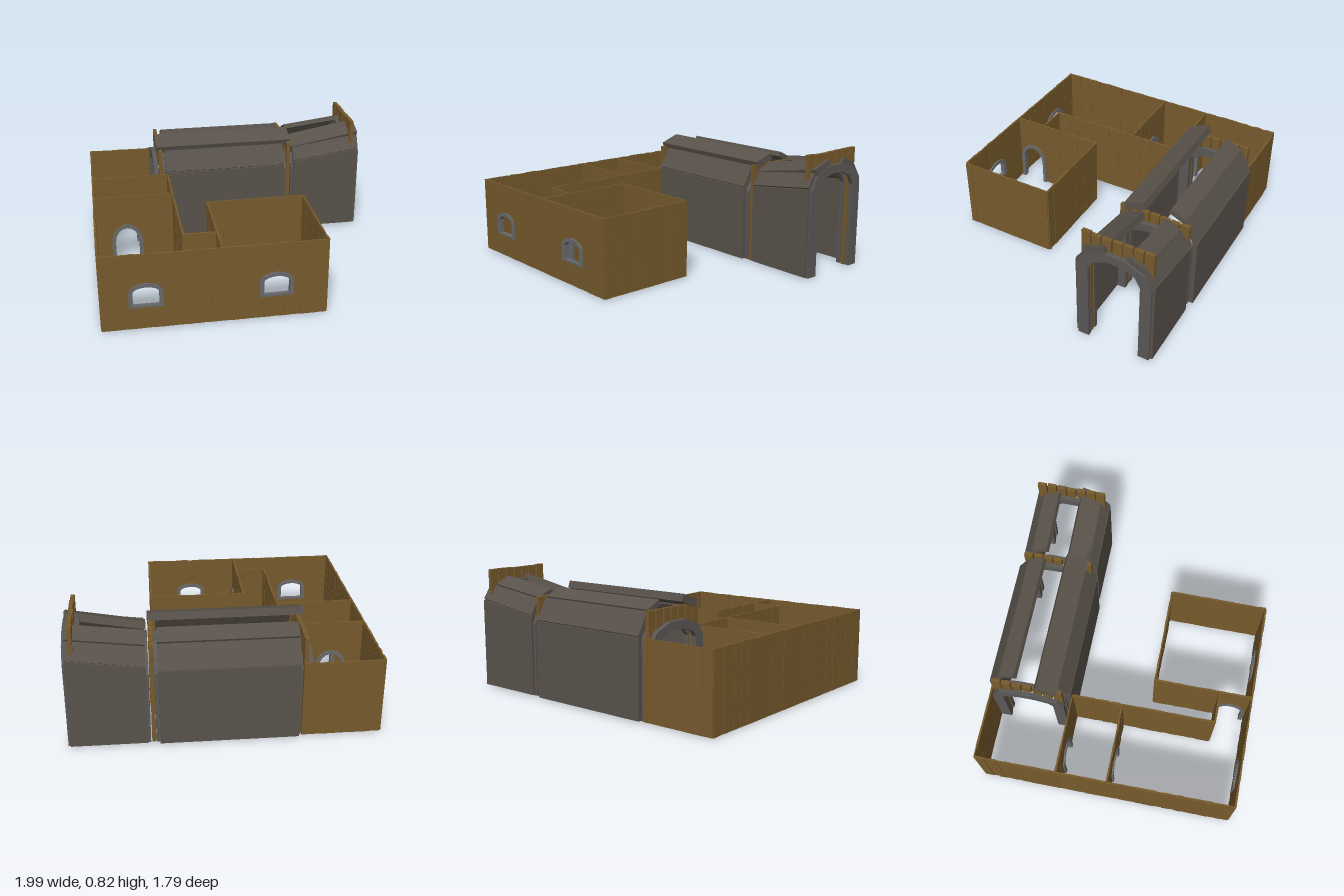
import * as THREE from 'three';
import { mergeGeometries } from 'three/addons/utils/BufferGeometryUtils.js';

const mat = (color) => new THREE.MeshStandardMaterial({ color, flatShading: true, side: THREE.DoubleSide });
const wood = mat(0x765a2c), slate = mat(0x59524b), rib = mat(0x5a5856), trim = mat(0x69696c);

let seed = 7;
const rnd = () => (seed = (seed * 16807) % 2147483647) / 2147483647;

// Arch outline from bottom left over the crown to bottom right
function archPoints(cx, half, base, spring, rise, n) {
  const pts = [[cx - half, base]];
  for (let i = 0; i <= n; i++) {
    const a = Math.PI * (1 - i / n);
    pts.push([cx + half * Math.cos(a), spring + rise * Math.sin(a)]);
  }
  pts.push([cx + half, base]);
  return pts;
}

function extrude(pts, depth) {
  const shape = new THREE.Shape(pts.map(([x, y]) => new THREE.Vector2(x, y)));
  return new THREE.ExtrudeGeometry(shape, { depth, bevelEnabled: false }).translate(0, 0, -depth / 2);
}

// Arched frame: legs and crown, open at the bottom
function archFrame(cx, half, base, spring, rise, n, width, crown, depth) {
  const outer = archPoints(cx, half, base, spring, rise, n);
  const inner = archPoints(cx, half - width, base, spring, rise - crown, n);
  return extrude([...outer, ...inner.reverse()], depth);
}

const WINDOW = { name: 'window', half: 0.108, base: 0.165, spring: 0.27, rise: 0.062, sill: true };
const DOOR = { name: 'doorway', half: 0.108, base: 0.01, spring: 0.19, rise: 0.13 };

// Plank wall from one plan point to another, cut by arched openings
function wall(name, x0, z0, x1, z1, openings = []) {
  const group = new THREE.Group();
  group.name = name;
  group.position.set(x0, 0, z0);
  group.rotation.y = -Math.atan2(z1 - z0, x1 - x0);
  const length = Math.hypot(x1 - x0, z1 - z0), bottom = 0.012, top = 0.53, parts = [];
  const put = (a, b, pa, pb, qa, qb, t) => parts.push(extrude([[a, pa], [b, pb], [b, qb], [a, qa]], t));
  for (let u = 0; u < length - 0.001;) {
    let end = Math.min(length, u + 0.022 + rnd() * 0.035);
    if (length - end < 0.015) end = length;
    const t = 0.008 + rnd() * 0.008, h = top - rnd() * 0.004;
    const cuts = [u, end];
    for (const { at, type } of openings)
      for (let i = 0; i <= 10; i++) {
        const c = at - (type.half - 0.012) * Math.cos(Math.PI * i / 10);
        if (c > u && c < end) cuts.push(c);
      }
    cuts.sort((a, b) => a - b);
    for (let i = 0; i + 1 < cuts.length; i++) {
      const a = cuts[i], b = cuts[i + 1];
      const hit = openings.find(o => Math.abs((a + b) / 2 - o.at) < o.type.half - 0.012);
      if (!hit) { put(a, b, bottom, bottom, h, h, t); continue; }
      const { half, base, spring, rise } = hit.type;
      const y = (v) => spring + (rise - 0.012) * Math.sqrt(Math.max(0, 1 - ((v - hit.at) / (half - 0.012)) ** 2));
      put(a, b, y(a), y(b), h, h, t);
      if (base > 0.02) put(a, b, bottom, bottom, base, base, t);
    }
    u = end;
  }
  const planks = new THREE.Mesh(mergeGeometries(parts), wood);
  planks.name = 'planks';
  group.add(planks);
  for (const { at, type } of openings) {
    const frame = [archFrame(at, type.half, type.base, type.spring, type.rise, 8, 0.026, 0.026, 0.034)];
    const w = type.half;
    if (type.sill) frame.push(extrude([[at - w, 0.163], [at + w, 0.163], [at + w, 0.178], [at - w, 0.178]], 0.026));
    const mesh = new THREE.Mesh(mergeGeometries(frame), trim);
    mesh.name = type.name + 'Frame';
    group.add(mesh);
  }
  return group;
}

// Slab whose (z, y) edge lines are given at both ends along x
function panel(name, x0, [a0, b0], x1, [a1, b1], thick) {
  const geo = new THREE.BoxGeometry(1, 1, 1), p = geo.attributes.position;
  for (let i = 0; i < p.count; i++) {
    const right = p.getX(i) > 0, [a, b] = right ? [a1, b1] : [a0, b0], end = p.getY(i) > 0 ? b : a;
    const dz = b[0] - a[0], dy = b[1] - a[1], len = Math.hypot(dz, dy), off = p.getZ(i) * thick;
    p.setXYZ(i, right ? x1 : x0, end[1] - dz / len * off, end[0] + dy / len * off);
  }
  geo.computeVertexNormals();
  const mesh = new THREE.Mesh(geo, slate);
  mesh.name = name;
  return mesh;
}

const MID = -0.615;

// Stone rib across the passage
function passageRib(x, spring, top) {
  const mesh = new THREE.Mesh(archFrame(0, 0.25, 0.01, spring, top - spring, 5, 0.075, 0.06, 0.03), rib);
  mesh.rotation.y = Math.PI / 2;
  mesh.position.set(x, 0, MID);
  mesh.name = 'passageRib';
  return mesh;
}

// Row of boards standing over a rib, the outer ones reaching the ground
function gable(x, low, top) {
  const group = new THREE.Group();
  group.name = 'gableBoards';
  for (let i = 0; i < 7; i++) {
    const base = i % 6 === 0 ? 0.005 : low - 0.025 * Math.abs(i - 3), h = top - rnd() * 0.006;
    const board = new THREE.Mesh(new THREE.BoxGeometry(0.026, h - base, 0.06), wood);
    board.position.set(x + (rnd() - 0.5) * 0.006, (h + base) / 2, MID + (i - 3) * 0.07);
    board.name = 'board';
    group.add(board);
  }
  return group;
}

export function createModel() {
  const model = new THREE.Group();
  model.name = 'plankHouseWithPassage';

  // Rooms
  model.add(
    wall('frontWall', -0.99, 0.88, 0.43, 0.88, [{ at: 0.28, type: WINDOW }, { at: 1.095, type: WINDOW }]),
    wall('outerSideWall', -0.99, -0.87, -0.99, 0.88),
    wall('backWall', -0.99, -0.87, -0.48, -0.87),
    wall('rearPartition', -0.99, -0.32, -0.45, -0.32, [{ at: 0.215, type: DOOR }]),
    wall('middlePartition', -0.99, 0.025, -0.45, 0.025, [{ at: 0.215, type: DOOR }]),
    wall('corridorWall', -0.45, -0.32, -0.45, 0.66),
    wall('corridorEndWall', -0.45, 0.66, -0.235, 0.66),
    wall('frontRoomInnerWall', -0.235, 0.21, -0.235, 0.88, [{ at: 0.55, type: DOOR }]),
    wall('frontRoomBackWall', -0.235, 0.21, 0.43, 0.21),
    wall('frontRoomSideWall', 0.43, 0.21, 0.43, 0.88),
  );

  // Passage: straight section, then a section rising toward its mouth
  const sections = [
    { x0: -0.46, x1: 0.42, c0: -0.52, c1: 0.475, out: 0.265, f: [0.53, 0.53], t: [0.67, 0.67], cap: [0.735, 0.735] },
    { x0: 0.495, x1: 0.98, c0: 0.485, c1: 0.99, out: 0.25, f: [0.55, 0.615], t: [0.655, 0.715], cap: [0.675, 0.765] },
  ];
  for (const { x0, x1, c0, c1, out, f, t, cap } of sections) {
    for (const s of [1, -1]) {
      const side = s > 0 ? 'front' : 'back';
      const foot = [0, 1].map(() => [MID + s * out, 0.015]);
      const fold = f.map(y => [MID + s * out, y]);
      const eave = t.map(y => [MID + s * 0.185, y]);
      model.add(
        panel(side + 'PassageWall', x0, [foot[0], fold[0]], x1, [foot[1], fold[1]], 0.035),
        panel(side + 'LowerRoof', x0, [fold[0], eave[0]], x1, [fold[1], eave[1]], 0.035),
      );
      if (s < 0) {
        const ridge = t.map(y => [MID - 0.08, y + 0.05]);
        model.add(panel('backUpperRoof', x0, [eave[0], ridge[0]], x1, [eave[1], ridge[1]], 0.035));
      }
    }
    const lip = cap.map(y => [MID + 0.205, y - 0.05]), crest = cap.map(y => [MID + 0.065, y]);
    model.add(panel('frontRoofCap', c0, [lip[0], crest[0]], c1, [lip[1], crest[1]], 0.05));
  }

  // Ribs in pairs on both sides of each row of boards
  for (const [x, gap, spring, top, low, high] of [
    [-0.495, 0.03, 0.48, 0.61, 0.6, 0.69],
    [0.458, 0.03, 0.5, 0.63, 0.61, 0.69],
    [0.94, 0.035, 0.59, 0.755, 0.73, 0.83],
  ]) {
    model.add(passageRib(x - gap, spring, top), passageRib(x + gap + 0.005, spring, top), gable(x, low, high));
  }
  return model;
}
